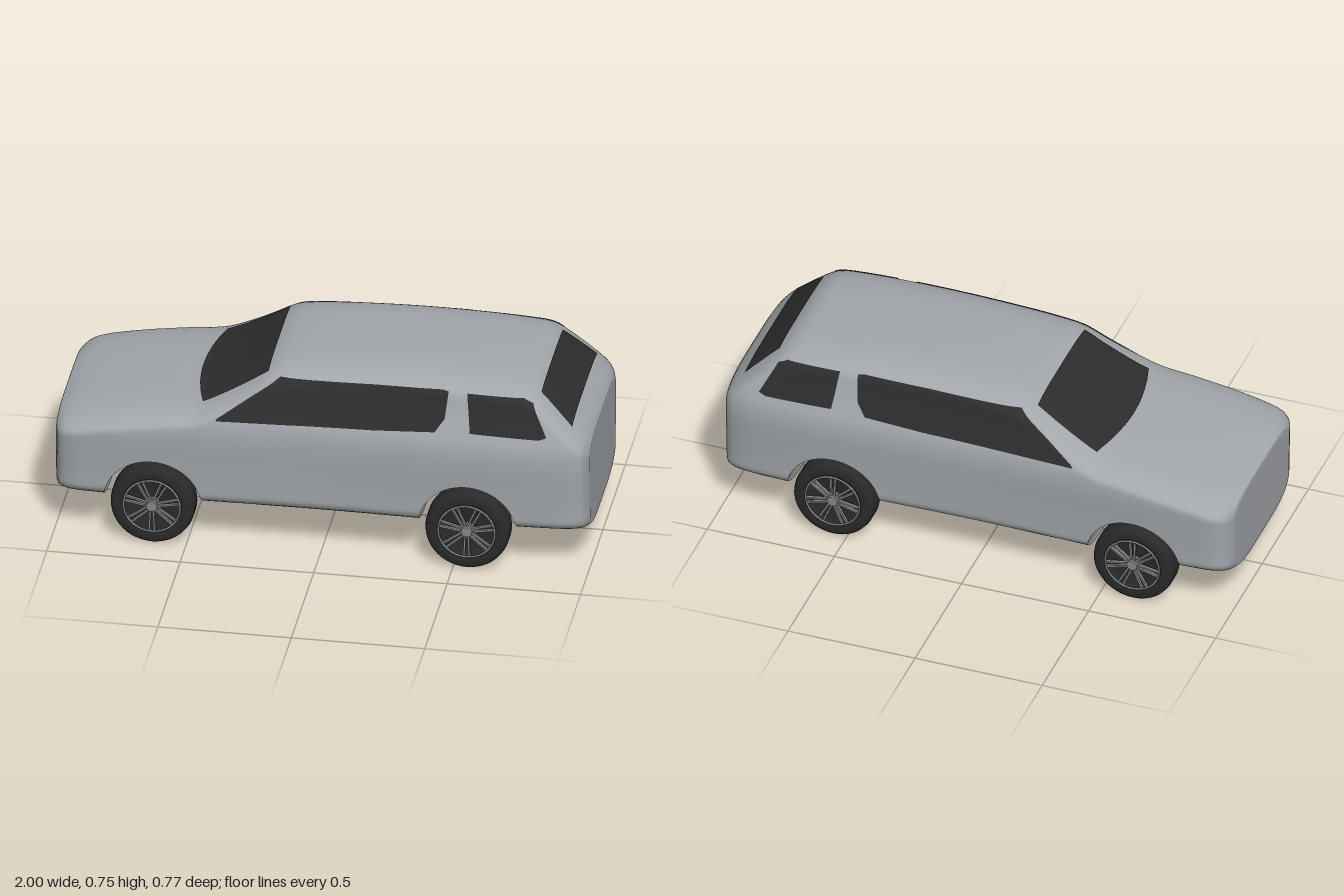
import * as THREE from 'three';

const mat = (name, color, side = THREE.FrontSide) => {
  const m = new THREE.MeshStandardMaterial({ color, side });
  m.name = name;
  return m;
};

// Smooth curve through [x, value] points
function curve(p) {
  const slope = (i) => {
    const a = p[Math.max(i - 1, 0)], b = p[Math.min(i + 1, p.length - 1)];
    return (b[1] - a[1]) / (b[0] - a[0]);
  };
  return (x) => {
    let i = 0;
    while (i < p.length - 2 && x > p[i + 1][0]) i++;
    const h = p[i + 1][0] - p[i][0];
    const t = Math.min(1, Math.max(0, (x - p[i][0]) / h));
    const u = 1 - t;
    return p[i][1] * (1 + 2 * t) * u * u + slope(i) * h * t * u * u
      + p[i + 1][1] * t * t * (3 - 2 * t) - slope(i + 1) * h * t * t * u;
  };
}

// Grid surface from rows of [x, y, z] points
function surface(rows) {
  const n = rows[0].length, idx = [];
  for (let i = 0; i < rows.length - 1; i++) {
    for (let j = 0; j < n - 1; j++) {
      const a = i * n + j, b = a + n;
      idx.push(a, b, b + 1, a, b + 1, a + 1);
    }
  }
  const g = new THREE.BufferGeometry();
  g.setAttribute('position', new THREE.Float32BufferAttribute(rows.flat(2), 3));
  g.setIndex(idx);
  g.computeVertexNormals();
  return g;
}

// Body shape rules: roof line, plan taper and side section
const FLOOR = 0.145, ARCH_R = 0.184, ARCH_Y = 0.16, AXLES = [-0.627, 0.552];
const roof = curve([[-1, 0.46], [-0.95, 0.482], [-0.8, 0.513], [-0.6, 0.545], [-0.48, 0.562], [-0.42, 0.585],
  [-0.3, 0.652], [-0.2, 0.714], [-0.16, 0.727], [-0.05, 0.741], [0.1, 0.75], [0.3, 0.754], [0.5, 0.75],
  [0.7, 0.738], [0.77, 0.727], [0.82, 0.695], [0.93, 0.597], [0.985, 0.543], [1, 0.52]]);
const plan = curve([[-1, 0.77], [-0.99, 0.86], [-0.97, 0.925], [-0.94, 0.965], [-0.88, 0.985], [-0.7, 1],
  [-0.3, 0.985], [0, 0.975], [0.4, 0.99], [0.65, 1], [0.85, 0.985], [0.93, 0.96], [0.97, 0.915], [0.99, 0.85], [1, 0.76]]);
const section = curve([[0.14, 0.372], [0.25, 0.374], [0.35, 0.38], [0.45, 0.386], [0.52, 0.38],
  [0.56, 0.365], [0.63, 0.339], [0.7, 0.319], [0.76, 0.305]]);
const round = (d, h) => {
  const s = Math.min(1, Math.max(0, d / h));
  return Math.pow(1 - (1 - s) * (1 - s), 0.25);
};
const halfWidth = (x, y) => plan(x) * section(y) * round(roof(x) - y, 0.06) * round(y - FLOOR, 0.07);
const topHeight = (x, z) => {
  let lo = roof(x) - 0.06, hi = roof(x);
  for (let k = 0; k < 30; k++) {
    const mid = (lo + hi) / 2;
    if (halfWidth(x, mid) > Math.abs(z)) lo = mid; else hi = mid;
  }
  return lo;
};
const lowerEdge = (x) => {
  for (const c of AXLES) {
    const d = Math.abs(x - c);
    if (d <= ARCH_R + 1e-6) return ARCH_Y + Math.sqrt(Math.max(0, ARCH_R ** 2 - d * d));
  }
  return FLOOR;
};

// Cross-section loop: up the left side, over the top, down the right side
const ROWS = 40;
function ring(x) {
  const side = [];
  for (let j = 0; j <= ROWS; j++) {
    const k = (1 - Math.cos(Math.PI * j / ROWS)) / 2;
    const y = Math.max(FLOOR + (roof(x) - FLOOR) * k, lowerEdge(x));
    side.push([x, y, halfWidth(x, y)]);
  }
  return [...side, ...side.slice(0, ROWS).reverse().map(([a, b, c]) => [a, b, -c])];
}

// Window patch stretched between two polylines and laid on the body by a map
function patch(lower, upper, map) {
  const path = (p, t) => {
    const f = t * (p.length - 1), i = Math.min(Math.floor(f), p.length - 2);
    return [0, 1].map((k) => p[i][k] + (p[i + 1][k] - p[i][k]) * (f - i));
  };
  const rows = [];
  for (let i = 0; i <= 14; i++) {
    const row = [];
    for (let j = 0; j <= 40; j++) {
      const a = path(lower, j / 40), b = path(upper, j / 40), t = i / 14;
      row.push(map(a[0] + (b[0] - a[0]) * t, a[1] + (b[1] - a[1]) * t));
    }
    rows.push(row);
  }
  return surface(rows);
}

export function createModel() {
  const paint = mat('grey paint', 0xa3a7ab, THREE.DoubleSide);
  const glass = mat('dark glass', 0x2d2d2d, THREE.DoubleSide);
  const rubber = mat('black rubber', 0x2a2a2a, THREE.DoubleSide);
  const metal = mat('wheel metal', 0x85888c);
  const car = new THREE.Group();
  car.name = 'car';
  const add = (parent, name, geo, m) => {
    const mesh = new THREE.Mesh(geo, m);
    mesh.name = name;
    parent.add(mesh);
    return mesh;
  };

  // Body shell
  const xs = [-0.997, -0.99, -0.98, -0.965, 0.965, 0.98, 0.99, 0.997];
  for (let i = 0; i <= 80; i++) xs.push(-1 + i / 40);
  for (const c of AXLES) {
    xs.push(c - ARCH_R - 0.0005, c + ARCH_R + 0.0005);
    for (let i = 0; i <= 40; i++) xs.push(c + ARCH_R * Math.cos(Math.PI * i / 40));
  }
  xs.sort((a, b) => a - b);
  const rings = xs.map(ring);
  const inset = (r) => r.map(([x, y, z]) => [x, 0.31 + (y - 0.31) * 0.88, z * 0.88]);
  const ends = [inset(rings[0]), inset(rings[rings.length - 1])];
  add(car, 'bodyShell', surface([ends[0], ...rings, ends[1]]), paint);

  // Flat middle of the nose and tail
  ends.forEach((r, e) => {
    const rows = [];
    for (let k = 0; k <= ROWS; k++) rows.push(e ? [r[2 * ROWS - k], r[k]] : [r[k], r[2 * ROWS - k]]);
    add(car, e ? 'tailPanel' : 'nosePanel', surface(rows), paint);
  });

  // Wheel arch tunnels
  for (const c of AXLES) {
    const pts = [[c - ARCH_R, FLOOR], [c - ARCH_R, 0.15]];
    for (let i = 40; i >= 0; i--) {
      const a = Math.PI * i / 40;
      pts.push([c + ARCH_R * Math.cos(a), ARCH_Y + ARCH_R * Math.sin(a)]);
    }
    pts.push([c + ARCH_R, 0.15], [c + ARCH_R, FLOOR]);
    add(car, 'wheelArch', surface(pts.map(([x, y]) => {
      const w = halfWidth(x, y);
      return [[x, y, -w], [x, y, w]];
    })), paint);
  }

  // Side windows
  for (const s of [1, -1]) {
    const onSide = (x, y) => [x, y, s * (halfWidth(x, y) + 0.004)];
    add(car, 'sideWindow', patch(
      [[-0.39, 0.536], [-0.15, 0.54], [0.2, 0.548], [0.43, 0.56], [0.465, 0.61]],
      [[-0.385, 0.545], [-0.16, 0.7], [0.2, 0.71], [0.45, 0.712], [0.475, 0.708]], onSide), glass);
    add(car, 'rearSideWindow', patch(
      [[0.562, 0.566], [0.82, 0.56], [0.848, 0.57]],
      [[0.545, 0.706], [0.755, 0.7], [0.79, 0.685]], onSide), glass);
  }

  // Windscreen and rear window
  const onTop = (x, z) => [x, topHeight(x, z) + 0.005, z];
  const across = [-1, -0.75, -0.5, -0.25, 0, 0.25, 0.5, 0.75, 1];
  add(car, 'windscreen', patch(across.map((v) => [-0.497 + 0.045 * v * v, 0.28 * v]),
    across.map((v) => [-0.21, 0.253 * v]), onTop), glass);
  add(car, 'rearWindow', patch(across.map((v) => [0.81, 0.24 * v]),
    across.map((v) => [0.932, 0.283 * v]), onTop), glass);

  // Wheels, built along +y and turned to face outwards
  const tyre = new THREE.LatheGeometry([[0, -0.02], [0.1, -0.02], [0.108, -0.047], [0.116, -0.0525], [0.144, -0.051],
    [0.154, -0.042], [0.158, -0.025], [0.158, 0.025], [0.154, 0.042], [0.144, 0.051], [0.116, 0.0525],
    [0.108, 0.047], [0.103, 0.025], [0, 0.025]].map((p) => new THREE.Vector2(...p)), 48);
  const rim = new THREE.TorusGeometry(0.106, 0.004, 8, 48).rotateX(Math.PI / 2);
  const hub = new THREE.CylinderGeometry(0.02, 0.028, 0.03, 24);
  const spoke = new THREE.BoxGeometry(0.085, 0.012, 0.007);
  for (const x of AXLES) {
    for (const s of [1, -1]) {
      const wheel = new THREE.Group();
      wheel.name = 'wheel';
      add(wheel, 'tyre', tyre, rubber);
      add(wheel, 'rim', rim, metal).position.y = 0.052;
      add(wheel, 'hub', hub, metal).position.y = 0.042;
      for (let i = 0; i < 7; i++) {
        const arm = new THREE.Group();
        arm.name = 'twinSpoke';
        arm.rotation.y = (i + 0.25) * Math.PI * 2 / 7;
        for (const o of [-1, 1]) {
          const bar = add(arm, 'spoke', spoke, metal);
          bar.position.set(0.063, 0.044, o * 0.008);
          bar.rotation.y = -o * 0.05;
        }
        wheel.add(arm);
      }
      wheel.position.set(x, 0.158, s * 0.327);
      wheel.rotation.x = s * Math.PI / 2;
      car.add(wheel);
    }
  }
  return car;
}
